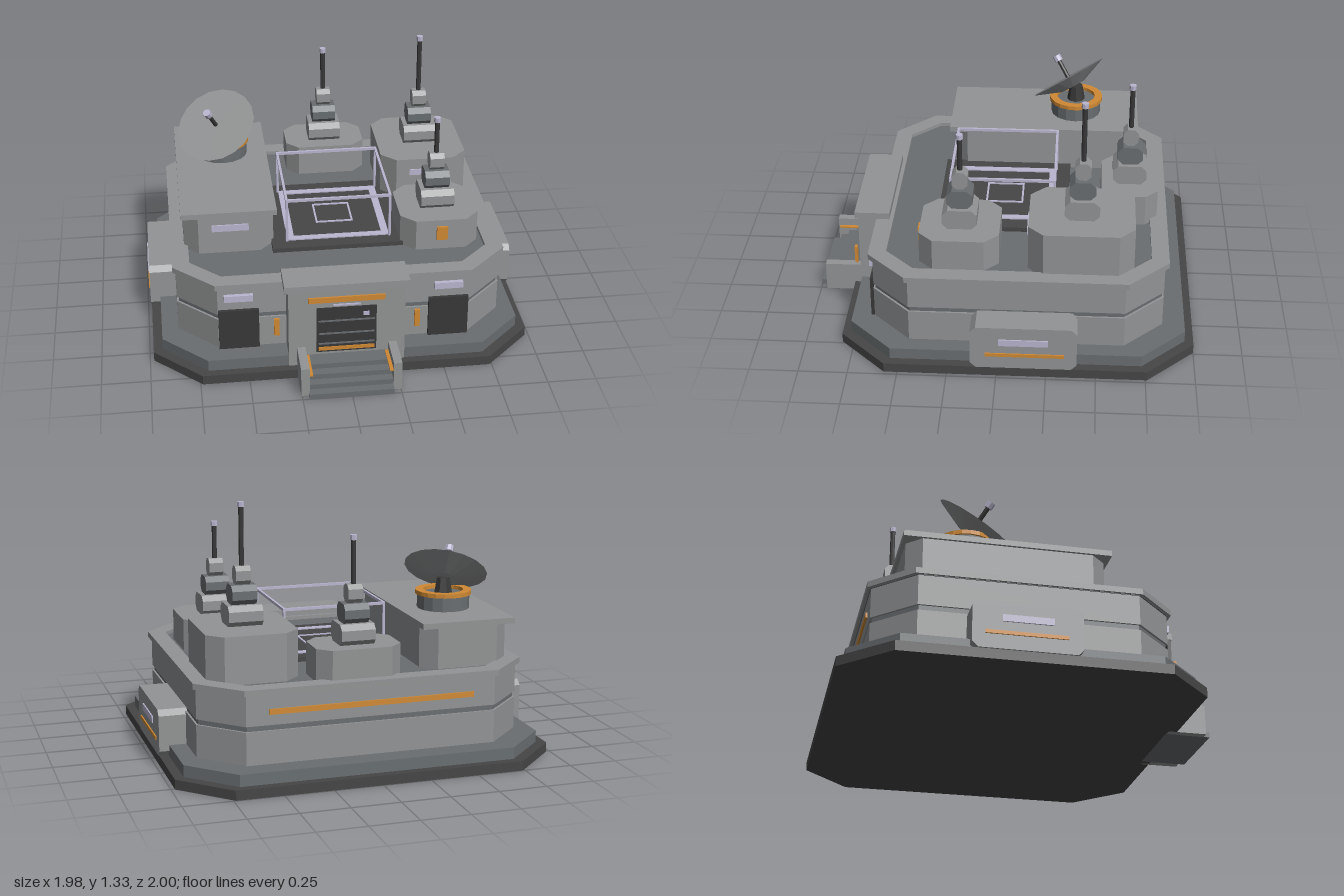
import * as THREE from 'three';

const mat = (name, color) => {
  const m = new THREE.MeshStandardMaterial({ color });
  m.name = name;
  return m;
};

export function createModel() {
  const light = mat('light grey', 0x929495);
  const mid = mat('mid grey', 0x696e71);
  const dark = mat('dark grey', 0x464646);
  const black = mat('charcoal', 0x383838);
  const orange = mat('orange', 0xd08a34);
  const lilac = mat('pale lilac', 0xbab6d0);

  const root = new THREE.Group();
  root.name = 'outpost';

  const add = (name, geo, material, parent = root) => {
    const m = new THREE.Mesh(geo, material);
    m.name = name;
    parent.add(m);
    return m;
  };
  // box given by its limits on each axis
  const box = (name, material, x0, x1, y0, y1, z0, z1, parent = root) => {
    const m = add(name, new THREE.BoxGeometry(x1 - x0, y1 - y0, z1 - z0), material, parent);
    m.position.set((x0 + x1) / 2, (y0 + y1) / 2, (z0 + z1) / 2);
    return m;
  };
  const octPoints = (hx, hy, c) => [
    [hx - c, -hy], [hx, c - hy], [hx, hy - c], [hx - c, hy],
    [c - hx, hy], [-hx, hy - c], [-hx, c - hy], [c - hx, -hy],
  ].map(([x, y]) => new THREE.Vector2(x, y));
  // upright prism with cut corners, optionally open in the middle
  const prism = (name, material, cx, cz, hx, hz, c, y0, y1, wall = 0) => {
    const s = new THREE.Shape(octPoints(hx, hz, c));
    if (wall) s.holes.push(new THREE.Path(octPoints(hx - wall, hz - wall, c - wall * 0.59)));
    const g = new THREE.ExtrudeGeometry(s, { depth: y1 - y0, bevelEnabled: false });
    g.rotateX(-Math.PI / 2);
    const m = add(name, g, material);
    m.position.set(cx, y0, cz);
    return m;
  };
  // block whose side outline (z, y) has cut corners
  const sideBlock = (name, material, cx, cz, hx, hz, c, y0, y1, parent = root) => {
    const s = new THREE.Shape(octPoints(hz, (y1 - y0) / 2, c));
    const g = new THREE.ExtrudeGeometry(s, { depth: hx * 2, bevelEnabled: false });
    g.translate(0, 0, -hx).rotateY(Math.PI / 2);
    const m = add(name, g, material, parent);
    m.position.set(cx, (y0 + y1) / 2, cz);
    return m;
  };
  const faceted = (rt, rb, h, n) => {
    const g = new THREE.CylinderGeometry(rt, rb, h, n).toNonIndexed();
    g.computeVertexNormals();
    return g;
  };
  const cyl = (name, material, rt, rb, y0, y1, n, x, z, parent = root) => {
    const m = add(name, faceted(rt, rb, y1 - y0, n), material, parent);
    m.position.set(x, (y0 + y1) / 2, z);
    return m;
  };

  // foundation, walls and roof edge
  const cz = -0.095;
  prism('foundation', dark, 0, cz, 0.98, 0.905, 0.242, 0, 0.05);
  prism('plinth', mid, 0, cz, 0.932, 0.86, 0.225, 0.05, 0.11);
  prism('lowerWall', light, 0, cz, 0.845, 0.745, 0.2, 0.11, 0.278);
  prism('wallBand', mid, 0, cz, 0.835, 0.735, 0.196, 0.278, 0.306);
  prism('upperWall', light, 0, cz, 0.845, 0.745, 0.2, 0.306, 0.46);
  prism('roofFloor', mid, 0, cz, 0.85, 0.75, 0.2, 0.46, 0.472);
  prism('roofRim', light, 0, cz, 0.862, 0.765, 0.205, 0.462, 0.492, 0.09);
  box('backStripe', orange, -0.53, 0.53, 0.36, 0.387, -0.849, -0.84);

  // entrance
  box('entrance', light, -0.297, 0.297, 0.05, 0.497, 0.6, 0.77);
  box('entranceCap', light, -0.317, 0.317, 0.49, 0.527, 0.6, 0.785);
  box('entranceLight', orange, -0.197, 0.193, 0.42, 0.45, 0.77, 0.779);
  box('doorLamp', lilac, -0.07, 0.07, 0.397, 0.405, 0.77, 0.777);
  box('mainDoor', black, -0.155, 0.15, 0.125, 0.387, 0.77, 0.775);
  for (const y of [0.175, 0.235, 0.31]) box('doorSeam', mid, -0.145, 0.14, y - 0.004, y + 0.004, 0.775, 0.779);
  box('doorStripe', orange, -0.145, 0.14, 0.135, 0.155, 0.775, 0.779);
  box('doorPanel', lilac, 0.082, 0.112, 0.333, 0.355, 0.775, 0.779);

  // stairs
  [[0.86, 0.11], [0.91, 0.083], [0.955, 0.055], [1.0, 0.027]].forEach(([z, y], i) =>
    box('step' + (i + 1), mid, -0.215, 0.212, 0, y, 0.76, z));

  for (const s of [-1, 1]) {
    const pair = (name, m, a, b, ...r) => box(name, m, Math.min(s * a, s * b), Math.max(s * a, s * b), ...r);
    pair('stairWall', light, 0.212, 0.255, 0, 0.158, 0.765, 0.967);
    pair('stairStrip', orange, 0.194, 0.212, 0.108, 0.116, 0.78, 0.96);
    pair('entranceSideLight', orange, 0.343, 0.37, 0.25, 0.345, 0.77, 0.785);
    // side doors with lamps
    pair('sideDoor', black, 0.437, 0.643, 0.11, 0.335, 0.65, 0.668);
    pair('sideDoorLamp', lilac, 0.465, 0.612, 0.39, 0.425, 0.65, 0.672);
    // annexes on both flanks
    sideBlock('annex', light, s * 0.89, -0.137, 0.094, 0.267, 0.028, 0.052, 0.292);
    pair('annexLamp', lilac, 0.984, 0.991, 0.19, 0.225, -0.26, -0.012);
    pair('annexStripe', orange, 0.984, 0.991, 0.124, 0.142, -0.342, 0.056);
  }

  // long roof building
  prism('hall', light, -0.557, -0.19, 0.235, 0.5, 0.075, 0.47, 0.69);
  box('hallRoof', light, -0.805, -0.308, 0.687, 0.716, -0.71, 0.33);
  box('hallLamp', lilac, -0.647, -0.455, 0.6, 0.636, 0.31, 0.318);

  // dish on its turntable
  const dx = -0.55, dz = -0.362;
  cyl('dishPedestal', mid, 0.137, 0.137, 0.71, 0.793, 16, dx, dz);
  const ring = new THREE.LatheGeometry(
    [[0.105, 0.79], [0.147, 0.79], [0.147, 0.812], [0.105, 0.812], [0.105, 0.79]].map(p => new THREE.Vector2(...p)), 20).toNonIndexed();
  ring.computeVertexNormals();
  add('turntableRing', ring, orange).position.set(dx, 0, dz);
  cyl('dishMount', black, 0.035, 0.05, 0.79, 0.875, 8, dx, dz);
  const dish = new THREE.Group();
  dish.name = 'dish';
  dish.position.set(-0.555, 0.852, -0.35);
  dish.quaternion.setFromUnitVectors(new THREE.Vector3(0, 1, 0), new THREE.Vector3(-0.36, 0.787, 0.5).normalize());
  root.add(dish);
  cyl('dishBowl', light, 0.22, 0.07, 0.012, 0.07, 18, 0, 0, dish);
  cyl('dishStrut', black, 0.012, 0.012, 0.07, 0.18, 8, 0, 0, dish);
  cyl('dishFeed', lilac, 0.022, 0.022, 0.175, 0.208, 8, 0, 0, dish);

  // landing pad with markings and rail
  const px = 0.018, pz = 0.004;
  box('landingPad', dark, px - 0.352, px + 0.352, 0.465, 0.496, pz - 0.345, pz + 0.345);
  const frame = (name, r, w, y0, y1) => {
    for (const s of [-1, 1]) {
      const a = s * (r - w / 2);
      box(name, lilac, px - r, px + r, y0, y1, pz + a - w / 2, pz + a + w / 2);
      box(name, lilac, px + a - w / 2, px + a + w / 2, y0, y1, pz - r + w, pz + r - w);
    }
  };
  frame('padBorder', 0.27, 0.038, 0.496, 0.502);
  frame('padMark', 0.1, 0.01, 0.496, 0.502);
  frame('topRail', 0.278, 0.013, 0.728, 0.742);
  for (const sx of [-1, 1]) for (const sz of [-1, 1]) {
    const x = px + sx * 0.2715, z = pz + sz * 0.2715;
    box('railPost', lilac, x - 0.0065, x + 0.0065, 0.49, 0.73, z - 0.0065, z + 0.0065);
  }

  // roof towers: centre, half sizes, corner cut, top, antenna tip
  const towers = [
    ['rear', 0.045, -0.658, 0.219, 0.148, 0.065, 0.64, 1.18],
    ['tall', 0.55, -0.413, 0.235, 0.267, 0.078, 0.715, 1.33],
    ['front', 0.541, 0.203, 0.205, 0.203, 0.073, 0.64, 1.135],
  ];
  for (const [id, x, z, hx, hz, c, top, tip] of towers) {
    prism(id + 'Tower', light, x, z, hx, hz, c, 0.47, top);
    const mast = new THREE.Group();
    mast.name = id + 'Antenna';
    mast.position.set(x, top, z);
    root.add(mast);
    sideBlock('antennaBase', light, 0, 0, 0.088, 0.088, 0.027, 0, 0.105, mast);
    sideBlock('antennaMiddle', mid, 0, 0, 0.064, 0.066, 0.027, 0.105, 0.203, mast);
    sideBlock('antennaHead', light, 0, 0, 0.038, 0.04, 0.022, 0.203, 0.296, mast);
    cyl('antennaRod', black, 0.013, 0.013, 0.29, tip - top - 0.02, 8, 0, 0, mast);
    cyl('antennaTip', lilac, 0.018, 0.018, tip - top - 0.025, tip - top, 8, 0, 0, mast);
  }
  box('tallTowerLamp', lilac, 0.465, 0.63, 0.622, 0.655, -0.146, -0.138);
  box('frontTowerLight', orange, 0.517, 0.575, 0.53, 0.605, 0.406, 0.42);

  return root;
}
